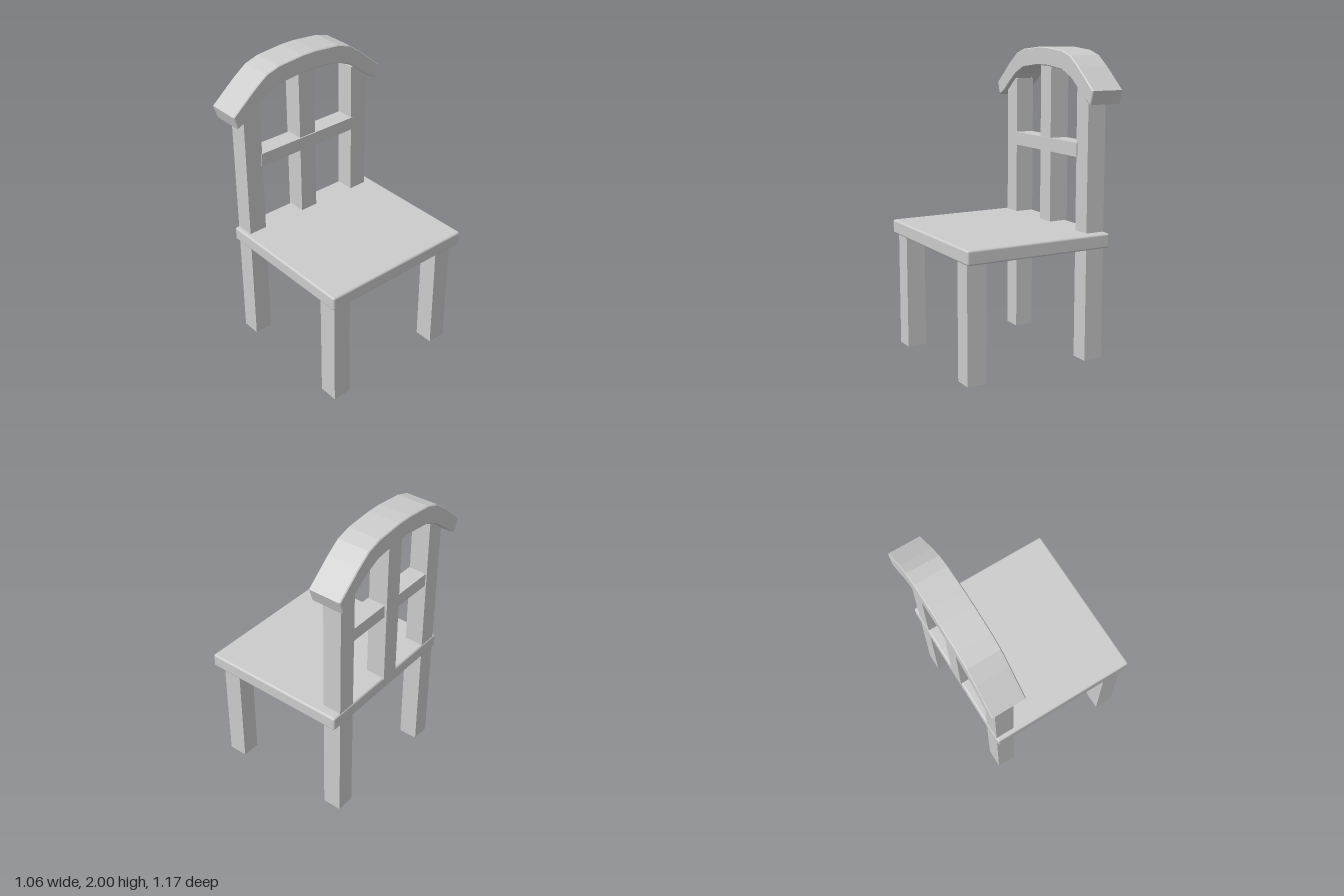
import * as THREE from 'three';
import { RoundedBoxGeometry } from 'three/addons/geometries/RoundedBoxGeometry.js';

const material = new THREE.MeshStandardMaterial({ color: 0xcccccc });

export function createModel() {
  const chair = new THREE.Group();
  chair.name = 'chair';

  const add = (name, geometry) => {
    const mesh = new THREE.Mesh(geometry, material);
    mesh.name = name;
    chair.add(mesh);
    return mesh;
  };

  // Box given by its extents along each axis; a radius rounds the edges
  const block = (name, [x0, x1], [y0, y1], [z0, z1], radius = 0) => {
    const size = [x1 - x0, y1 - y0, z1 - z0];
    const geometry = radius
      ? new RoundedBoxGeometry(...size, 2, radius)
      : new THREE.BoxGeometry(...size);
    add(name, geometry).position.set((x0 + x1) / 2, (y0 + y1) / 2, (z0 + z1) / 2);
  };

  // Seat
  block('seat', [-0.475, 0.53], [0.762, 0.855], [-0.56, 0.525], 0.014);

  // Legs and outer back posts
  for (const side of [1, -1]) {
    const z = side > 0 ? [0.37, 0.495] : [-0.495, -0.37];
    block('frontLeg', [0.37, 0.5], [0, 0.78], z);
    block('backLeg', [-0.47, -0.342], [0.02, 0.78], z);
    block('backPost', [-0.47, -0.342], [0.84, 1.78], z);
  }

  // Middle post and cross rail of the backrest
  block('middlePost', [-0.478, -0.345], [0.84, 1.92], [-0.062, 0.062]);
  block('crossRail', [-0.462, -0.337], [1.325, 1.413], [-0.38, 0.38]);

  // Arched top rail: half profiles from the end to the crown, mirrored
  const outer = [[0.585, 1.748], [0.42, 1.888], [0.33, 1.953], [0.235, 1.983], [0.05, 2]];
  const inner = [[0.557, 1.662], [0.5, 1.69], [0.42, 1.755], [0.34, 1.815], [0.235, 1.862], [0.06, 1.882]];
  const mirror = (half) => [...half, ...half.map(([z, y]) => [-z, y]).reverse()];
  const outline = [...mirror(outer), ...mirror(inner).reverse()];
  const bevel = 0.006;
  const archGeometry = new THREE.ExtrudeGeometry(
    new THREE.Shape(outline.map(([z, y]) => new THREE.Vector2(z, y))),
    {
      depth: 0.222 - 2 * bevel, bevelEnabled: true, bevelSegments: 1,
      bevelThickness: bevel, bevelSize: bevel, bevelOffset: -bevel,
    },
  );
  archGeometry.rotateY(Math.PI / 2);
  add('archedTopRail', archGeometry).position.x = -0.533 + bevel;

  return chair;
}
